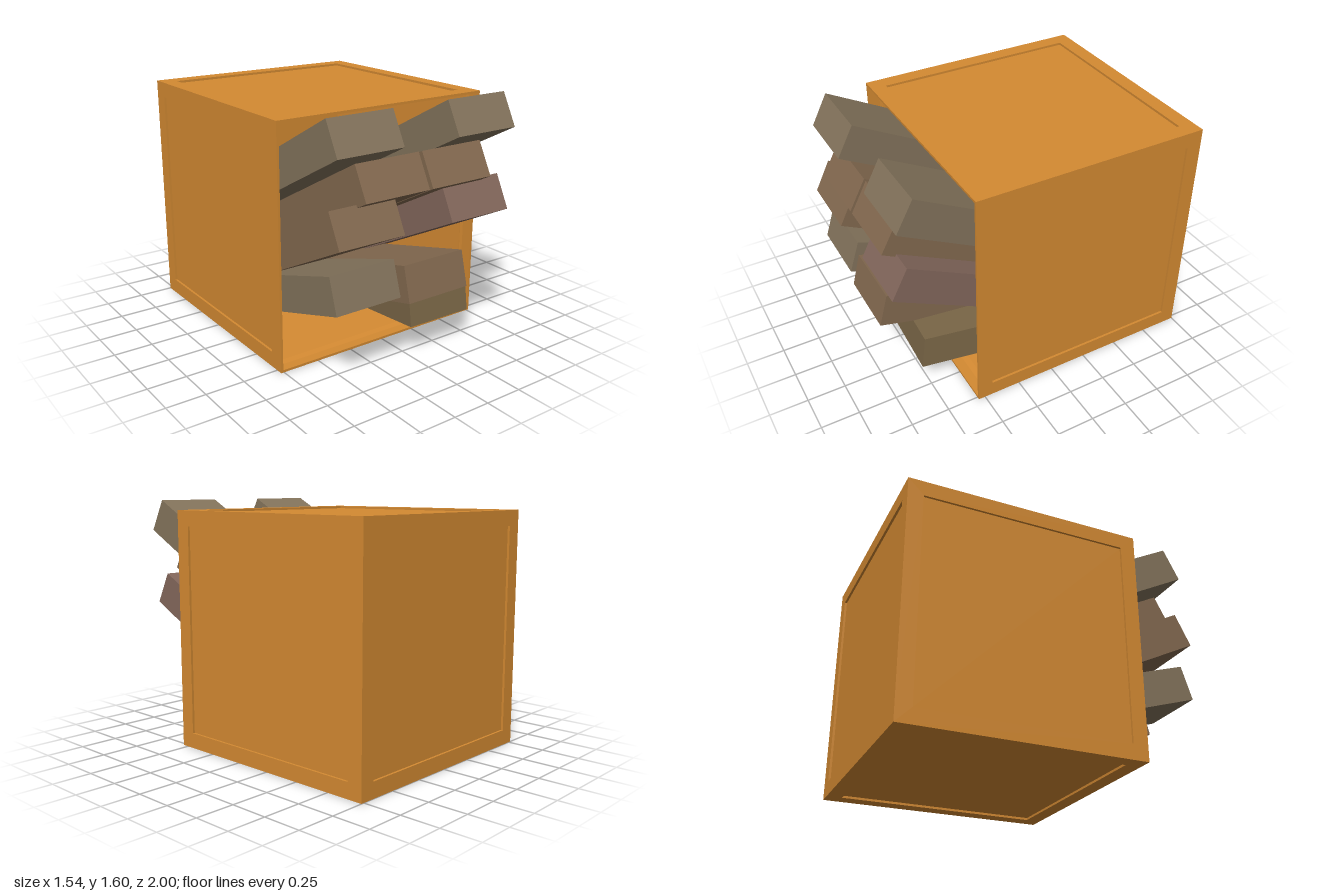
import * as THREE from 'three';

const W = 1.54, H = 1.545, D = 1.545, BORDER = 0.1, RECESS = 0.015;
const ZC = -0.2275; // crate centre in z

const wood = new THREE.MeshStandardMaterial({ color: 0xd48a32, flatShading: true });
const lining = new THREE.MeshStandardMaterial({ color: 0xd48a32, flatShading: true, side: THREE.DoubleSide });

function add(parent, name, geometry, material) {
  const mesh = new THREE.Mesh(geometry, material);
  mesh.name = name;
  parent.add(mesh);
  return mesh;
}

// One crate side: raised border around a recessed panel; outer face at local z = 0
function crateSide(name, w, h) {
  const side = new THREE.Group();
  side.name = name;
  const rect = (Type, a, b) => new Type([[-a, -b], [a, -b], [a, b], [-a, b]].map(p => new THREE.Vector2(...p)));
  const ring = rect(THREE.Shape, w / 2, h / 2);
  ring.holes.push(rect(THREE.Path, w / 2 - BORDER, h / 2 - BORDER));
  const frame = new THREE.ExtrudeGeometry(ring, { depth: RECESS, bevelEnabled: false });
  add(side, 'border', frame.translate(0, 0, -RECESS), wood);
  const panel = new THREE.BoxGeometry(w - 2 * BORDER, h - 2 * BORDER, 0.005);
  add(side, 'panel', panel.translate(0, 0, -RECESS - 0.0025), wood);
  return side;
}

// Brick with cut rear corners; origin at the bottom of its front face
function brickGeometry(length) {
  const a = 0.2275, cut = 0.07, run = 0.13, height = 0.228;
  const plan = new THREE.Shape([
    [-a, 0], [a, 0], [a, length - run], [a - cut, length], [-a + cut, length], [-a, length - run],
  ].map(p => new THREE.Vector2(...p)));
  return new THREE.ExtrudeGeometry(plan, { depth: height, bevelEnabled: false }).rotateX(-Math.PI / 2);
}

export function createModel() {
  const model = new THREE.Group();
  model.name = 'crateOfBricks';

  // Crate shell, open at the front
  const crate = new THREE.Group();
  crate.name = 'crate';
  crate.position.set(0, H / 2, ZC);
  model.add(crate);
  const q = Math.PI / 2;
  const sides = [
    ['leftSide', D, H, [W / 2, 0, 0], [0, q, 0]],
    ['rightSide', D, H, [-W / 2, 0, 0], [0, -q, 0]],
    ['topSide', W, D, [0, H / 2, 0], [-q, 0, 0]],
    ['bottomSide', W, D, [0, -H / 2, 0], [q, 0, 0]],
    ['backSide', W, H, [0, 0, -D / 2], [0, 2 * q, 0]],
  ];
  for (const [name, w, h, pos, rot] of sides) {
    const side = crateSide(name, w, h);
    side.position.set(...pos);
    side.rotation.set(...rot);
    crate.add(side);
  }

  // Interior walls tapering from the front rim to the back
  const profile = [[0, -0.9], [0.68, -0.9], [0.75, 0.44], [0.77, 0.545]]
    .map(([r, z]) => new THREE.Vector2(r * Math.SQRT2, z - ZC));
  const inner = new THREE.LatheGeometry(profile, 4).rotateY(Math.PI / 4).rotateX(q);
  add(crate, 'innerWalls', inner, lining);

  // Bricks: x, y, z of the front bottom edge, pitch, length, colour, yaw, roll
  const grey = 0x84745c, brown = 0x846a50, rose = 0x84685c;
  const bricks = [
    [-0.433, 1.4, 0.965, 28, 1.15, grey],
    [0.43, 1.4, 0.965, 28, 1.15, grey],
    [-0.255, 1.13, 0.985, 28, 1.15, brown],
    [0.225, 1.13, 0.985, 28, 1.15, brown],
    [-0.443, 0.9, 1.0, 27, 1.15, brown],
    [0.373, 0.9, 1.0, 27, 1.4, rose],
    [-0.443, 0.51, 0.975, 18, 1.25, grey],
    [0.073, 0.455, 0.985, 14.6, 1.1, brown],
    [0.27, 0.17, 0.79, 7, 0.85, 0x7c6848, -3, 1.2],
  ];
  const pile = new THREE.Group();
  pile.name = 'bricks';
  model.add(pile);
  const rad = THREE.MathUtils.degToRad;
  bricks.forEach(([x, y, z, pitch, length, color, yaw = 0, roll = 0], i) => {
    const material = new THREE.MeshStandardMaterial({ color, flatShading: true });
    const brick = add(pile, 'brick' + (i + 1), brickGeometry(length), material);
    brick.position.set(x, y, z);
    brick.rotation.set(rad(-pitch), rad(yaw), rad(roll), 'YXZ');
  });

  return model;
}
